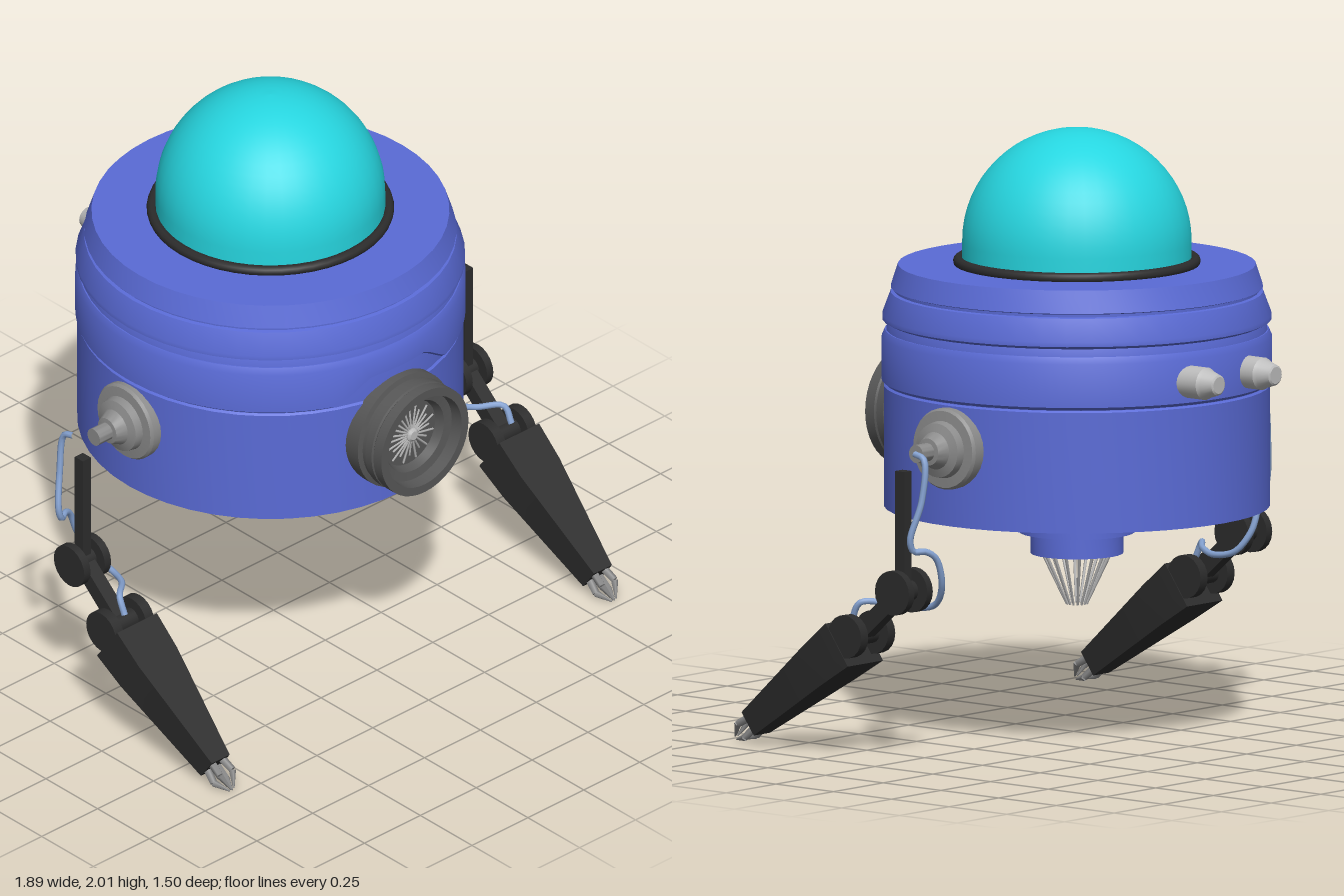
import * as THREE from 'three';
import { toCreasedNormals } from 'three/addons/utils/BufferGeometryUtils.js';

const mat = (name, color, side = THREE.FrontSide) => {
  const m = new THREE.MeshStandardMaterial({ color, side });
  m.name = name;
  return m;
};

export function createModel() {
  const blue = mat('blue paint', 0x5a6bd6);
  const cyan = mat('cyan dome', 0x26d6e0);
  const black = mat('black', 0x2c2c2c);
  const dark = mat('dark grey', 0x575757);
  const grey = mat('grey metal', 0x8c8c8c);
  const light = mat('light grey', 0xbcbcbc);
  const cableBlue = mat('cable blue', 0x86a3d2);

  const model = new THREE.Group();
  model.name = 'robot';

  const add = (parent, name, geo, material, x = 0, y = 0, z = 0) => {
    const mesh = new THREE.Mesh(geo, material);
    mesh.name = name;
    mesh.position.set(x, y, z);
    parent.add(mesh);
    return mesh;
  };
  const rawLathe = (pts, seg) =>
    new THREE.LatheGeometry(pts.map(([r, y]) => new THREE.Vector2(r, y)), seg);
  const lathe = (pts, seg = 40) => toCreasedNormals(rawLathe(pts, seg), 0.45);
  // Thin rod between two points
  const rod = (parent, name, a, b, r0, r1, material, sides = 6) => {
    const d = b.clone().sub(a);
    const m = add(parent, name, new THREE.CylinderGeometry(r1, r0, d.length(), sides), material);
    m.position.copy(a).addScaledVector(d, 0.5);
    m.quaternion.setFromUnitVectors(new THREE.Vector3(0, 1, 0), d.normalize());
    return m;
  };
  const V = (x, y, z) => new THREE.Vector3(x, y, z);

  // Body
  const body = new THREE.Group();
  body.name = 'body';
  body.position.set(-0.005, 0, -0.01);
  model.add(body);
  add(body, 'hull', lathe([[0, 0.75], [0.635, 0.75], [0.635, 1.15], [0.628, 1.156], [0.628, 1.33],
    [0.62, 1.36], [0.64, 1.37], [0.64, 1.385], [0.612, 1.46], [0.6, 1.463], [0.6, 1.472],
    [0.612, 1.476], [0.588, 1.55], [0, 1.55]], 48), blue);

  // Upper band, its lower edge stepping up over the eye
  const band = rawLathe([[0.624, 1.155], [0.641, 1.168], [0.641, 1.312], [0.63, 1.335], [0.61, 1.335]], 120);
  const p = band.attributes.position;
  for (let i = 0; i < p.count; i++) {
    if (p.getY(i) < 1.2 && p.getZ(i) > 0) {
      const t = THREE.MathUtils.clamp((0.235 - Math.abs(p.getX(i) + 0.01)) / 0.115, 0, 1);
      p.setY(i, p.getY(i) + t * 0.08);
    }
  }
  add(body, 'upperBand', toCreasedNormals(band, 0.45), blue);

  // Dome and its seal
  const domePts = [[0.378, 1.55]];
  for (let i = 0; i <= 16; i++) {
    const a = (i / 16) * Math.PI / 2;
    domePts.push([0.378 * Math.cos(a), 1.622 + 0.378 * Math.sin(a)]);
  }
  add(body, 'dome', rawLathe(domePts, 40), cyan);
  const seal = add(body, 'domeSeal', new THREE.TorusGeometry(0.389, 0.018, 10, 48), black, 0, 1.56, 0);
  seal.rotation.x = Math.PI / 2;

  // Lower nozzle with a cone of thin prongs
  add(body, 'nozzle', lathe([[0, 0.59], [0.153, 0.59], [0.153, 0.655], [0.19, 0.66], [0.19, 0.71],
    [0.15, 0.712], [0.15, 0.76]], 32), blue);
  for (let i = 0; i < 16; i++) {
    const a = (i / 16) * Math.PI * 2, c = Math.cos(a), s = Math.sin(a);
    rod(body, 'prong', V(c * 0.115, 0.595, s * 0.115), V(c * 0.033, 0.42, s * 0.033), 0.006, 0.004, light, 5);
  }

  // Front eye
  const eye = new THREE.Group();
  eye.name = 'eye';
  eye.position.set(-0.015, 1.005, 0);
  model.add(eye);
  add(eye, 'eyeHousing', lathe([[0.205, 0.5], [0.205, 0.645], [0.188, 0.65], [0.188, 0.665], [0.195, 0.67],
    [0.195, 0.70], [0.189, 0.704], [0.195, 0.71], [0.195, 0.748], [0.165, 0.748], [0.16, 0.705],
    [0.13, 0.70], [0.118, 0.67], [0, 0.67]]), dark).rotation.x = Math.PI / 2;
  for (let i = 0; i < 24; i++) {
    const a = (i / 24) * Math.PI * 2, r = i % 2 ? 0.108 : 0.085;
    rod(eye, 'lensSpoke', V(0, 0, 0.685), V(Math.cos(a) * r, Math.sin(a) * r, 0.674), 0.004, 0.004, light, 4);
  }
  add(eye, 'lensCentre', lathe([[0.024, 0.67], [0.024, 0.69], [0.016, 0.697], [0, 0.697]], 16), light)
    .rotation.x = Math.PI / 2;

  // Rear pipes
  for (const x of [-0.14, 0.146]) {
    add(model, 'rearPipe', lathe([[0.054, 0.55], [0.054, 0.7], [0.047, 0.712], [0.034, 0.752],
      [0.028, 0.756], [0, 0.756]], 20), light, x, 1.237, 0).rotation.x = -Math.PI / 2;
  }

  // Arms, one per side
  const disc = (parent, name, r, w, x, y, z) => {
    add(parent, name, new THREE.CylinderGeometry(r, r, w, 20), black, x, y, z).rotation.z = Math.PI / 2;
  };
  const bar = (parent, name, w, d, a, b) => {
    const m = add(parent, name, new THREE.BoxGeometry(w, a.distanceTo(b), d), black);
    m.position.copy(a).add(b).multiplyScalar(0.5);
    m.rotation.x = Math.atan2(a.z - b.z, a.y - b.y);
  };
  for (const s of [1, -1]) {
    const arm = new THREE.Group();
    arm.name = s > 0 ? 'leftArm' : 'rightArm';
    model.add(arm);
    const X = s * 0.855;

    // Shoulder mount
    add(arm, 'shoulder', lathe([[0.135, 0.58], [0.135, 0.655], [0.128, 0.665], [0.095, 0.668], [0.09, 0.695],
      [0.062, 0.705], [0.045, 0.74], [0.03, 0.742], [0.03, 0.8], [0, 0.8]], 28), grey, 0, 1.01, -0.005)
      .rotation.z = -s * Math.PI / 2;

    // Upper arm, elbow and link
    bar(arm, 'upperArm', 0.036, 0.04, V(X, 0.96, 0.002), V(X, 0.56, 0.002));
    for (const k of [-1, 1]) {
      disc(arm, 'elbowDisc', 0.074, 0.028, X + k * 0.046, 0.56, 0);
      disc(arm, 'wristDisc', 0.072, 0.036, X + k * 0.068, 0.4, 0.183);
    }
    disc(arm, 'elbowPin', 0.035, 0.1, X, 0.56, 0);
    disc(arm, 'wristPin', 0.035, 0.12, X, 0.4, 0.183);
    bar(arm, 'elbowLink', 0.05, 0.055, V(X, 0.56, 0), V(X, 0.4, 0.183));

    // Tapered forearm with a four-finger claw
    const fore = new THREE.Group();
    fore.name = 'forearm';
    fore.position.set(X, 0.37, 0.215);
    fore.rotation.x = -0.943;
    arm.add(fore);
    const L = 0.528;
    const box = new THREE.BoxGeometry(1, L, 1, 1, 4, 1).translate(0, -L / 2, 0);
    const q = box.attributes.position;
    for (let i = 0; i < q.count; i++) {
      const t = -q.getY(i) / L;
      const wx = 0.178 - 0.098 * Math.max(0, (t - 0.2) / 0.8);
      q.setX(i, q.getX(i) * wx);
      q.setZ(i, q.getZ(i) * (0.165 - 0.075 * t));
    }
    add(fore, 'forearmShell', toCreasedNormals(box, 0.2), black);
    for (let i = 0; i < 4; i++) {
      const a = (i + 0.5) * Math.PI / 2, c = Math.cos(a), d = Math.sin(a);
      const knuckle = V(c * 0.038, -L - 0.045, d * 0.038);
      rod(fore, 'claw', V(c * 0.03, -L + 0.005, d * 0.03), knuckle, 0.015, 0.013, grey, 5);
      rod(fore, 'clawTip', knuckle, V(c * 0.008, -L - 0.098, d * 0.008), 0.013, 0.003, grey, 5);
    }

    // Cable
    const path = [[0.852, 1.02, -0.045], [0.856, 1.005, -0.088], [0.872, 0.87, -0.092], [0.9, 0.74, -0.066],
      [0.885, 0.702, -0.068], [0.85, 0.7, -0.09], [0.815, 0.675, -0.105], [0.78, 0.58, -0.1],
      [0.755, 0.51, -0.05], [0.755, 0.49, 0.04], [0.79, 0.5, 0.12], [0.86, 0.505, 0.185], [0.865, 0.45, 0.215]];
    const curve = new THREE.CatmullRomCurve3(path.map(([x, y, z]) => V(s * x, y, z)));
    add(arm, 'cable', new THREE.TubeGeometry(curve, 64, 0.011, 8), cableBlue);
  }
  return model;
}
